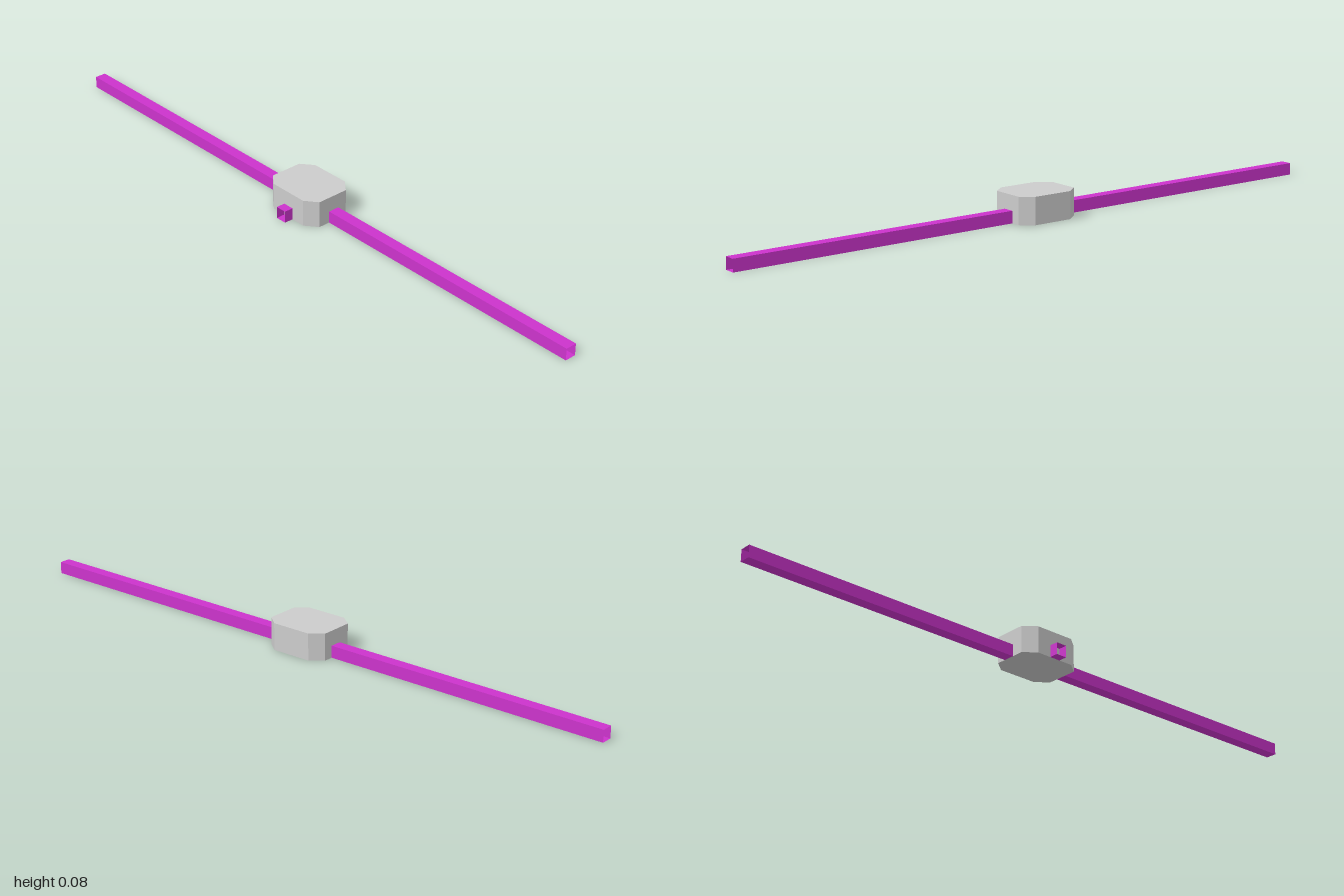
import * as THREE from 'three';
import { mergeGeometries } from 'three/addons/utils/BufferGeometryUtils.js';

const GREY = 0xcccccc, MAGENTA = 0xcc33cc;
const HEIGHT = 0.082, TUBE_W = 0.035, TUBE_H = 0.0365;

function makeMesh(name, geometry, color) {
  const material = new THREE.MeshStandardMaterial({ color, flatShading: true, side: THREE.DoubleSide });
  const mesh = new THREE.Mesh(geometry, material);
  mesh.name = name;
  return mesh;
}

// Square tube along z, open at both ends
function squareTube(length) {
  return new THREE.CylinderGeometry(Math.SQRT1_2, Math.SQRT1_2, 1, 4, 1, true)
    .rotateY(Math.PI / 4)
    .rotateX(Math.PI / 2)
    .scale(TUBE_W, TUBE_H, length)
    .translate(0, TUBE_H / 2, 0);
}

// Upright wall from a to b (x, z), with an optional doorway starting at the given distance
function wall([ax, az], [bx, bz], notch) {
  const dx = bx - ax, dz = bz - az, len = Math.hypot(dx, dz);
  const pts = [[0, 0]];
  if (notch !== undefined) {
    pts.push([notch, 0], [notch, TUBE_H], [notch + TUBE_W, TUBE_H], [notch + TUBE_W, 0]);
  }
  pts.push([len, 0], [len, HEIGHT], [0, HEIGHT]);
  const shape = new THREE.Shape(pts.map(p => new THREE.Vector2(...p)));
  return new THREE.ShapeGeometry(shape).rotateY(Math.atan2(-dz, dx)).translate(ax, 0, az);
}

export function createModel() {
  const model = new THREE.Group();

  // Eight-sided hub outline as (x, z), starting at the front
  const outline = [
    [-0.063, 0.066], [0.063, 0.066], [0.1, 0.037], [0.1, -0.064],
    [0.063, -0.094], [-0.063, -0.094], [-0.1, -0.064], [-0.1, 0.037],
  ];
  const doorways = { 2: 0.037, 6: 0.029 }; // where the arms meet the hub
  const parts = outline.map((p, i) => wall(p, outline[(i + 1) % 8], doorways[i]));

  // Hub top and bottom
  const cap = new THREE.Shape(outline.map(([x, z]) => new THREE.Vector2(x, -z)));
  parts.push(new THREE.ShapeGeometry(cap).rotateX(-Math.PI / 2).translate(0, HEIGHT, 0));
  const floor = new THREE.Shape(outline.map(([x, z]) => new THREE.Vector2(x, z)));
  parts.push(new THREE.ShapeGeometry(floor).rotateX(Math.PI / 2));
  model.add(makeMesh('hub', mergeGeometries(parts), GREY));

  // Long hollow arms
  for (const [name, side] of [['leftArm', 1], ['rightArm', -1]]) {
    const arm = makeMesh(name, squareTube(0.9).rotateY(Math.PI / 2), MAGENTA);
    arm.position.set(side * 0.55, 0, -TUBE_W / 2);
    model.add(arm);
  }

  // Short hollow stub at the front
  const stub = makeMesh('frontStub', squareTube(0.028), MAGENTA);
  stub.position.z = 0.08;
  model.add(stub);

  return model;
}
